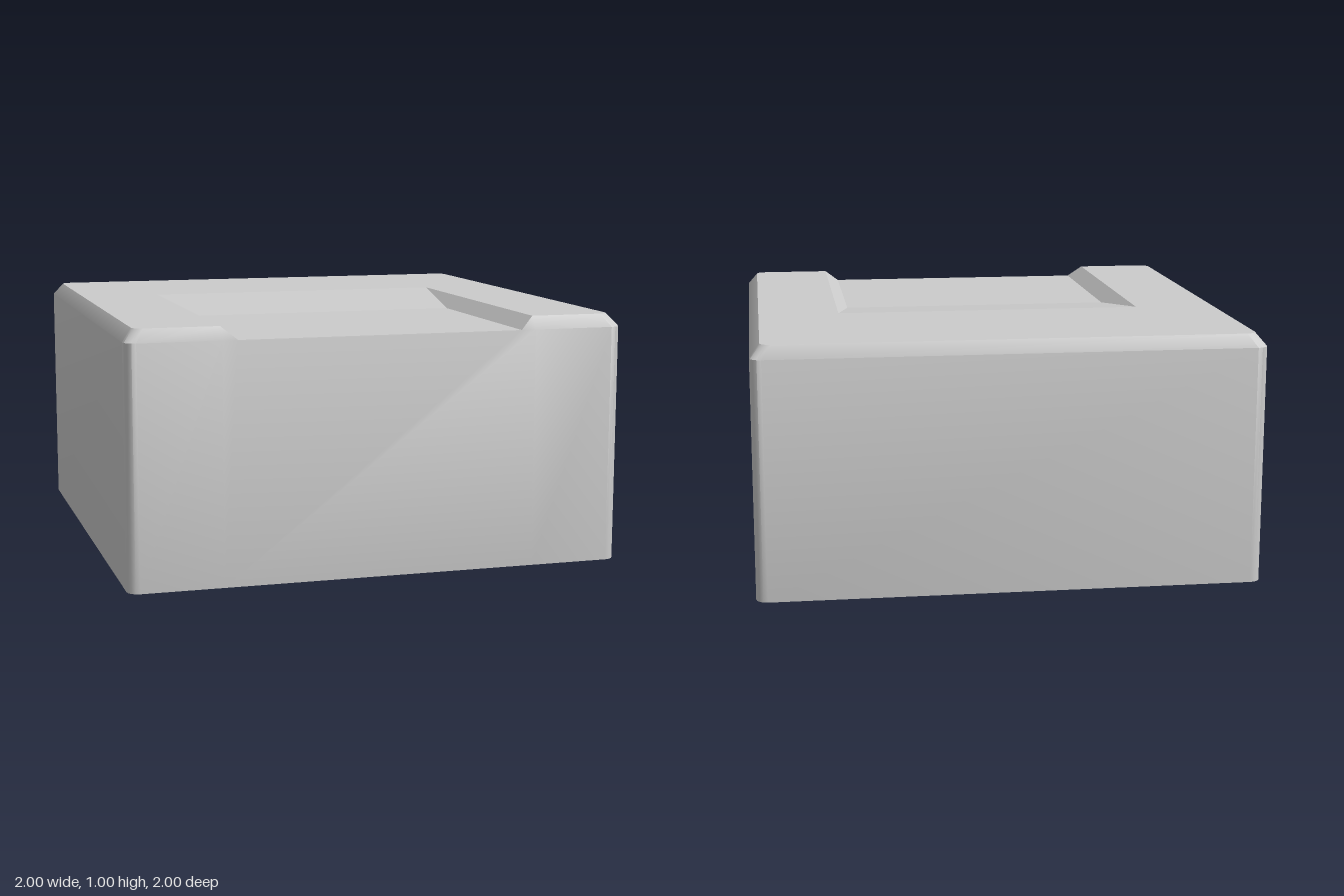
import * as THREE from 'three';
import { toCreasedNormals } from 'three/addons/utils/BufferGeometryUtils.js';

const TOP = 1, EDGE = 0.95;        // top face height, lower edge of the bevel
const OUT = 1, IN = 0.96;          // half widths below and above the bevel
const WIDE = 0.63, NARROW = 0.57;  // recess half widths at its rim and floor
const BACK = -0.28, FOOT = 0.16;   // ramp start and end in z

// Rounded square outline at height y, open at the front between x = -WIDE and WIDE
function outline(half, y, radius) {
  const pts = [[WIDE, y, half]], c = half - radius, steps = 4;
  [[1, 1], [1, -1], [-1, -1], [-1, 1]].forEach(([sx, sz], k) => {
    for (let i = 0; i <= steps; i++) {
      const a = Math.PI / 2 - (k + i / steps) * Math.PI / 2;
      pts.push([sx * c + radius * Math.cos(a), y, sz * c + radius * Math.sin(a)]);
    }
  });
  pts.push([-WIDE, y, half]);
  return pts;
}

// Fan of triangles over a convex polygon given counter-clockwise
function fan(out, ...p) {
  for (let i = 1; i < p.length - 1; i++) out.push(...p[0], ...p[i], ...p[i + 1]);
}

// The polygon and its mirror image across x
function fanBoth(out, ...p) {
  fan(out, ...p);
  fan(out, ...p.map(([x, y, z]) => [-x, y, z]).reverse());
}

function strip(out, low, high) {
  for (let i = 0; i < low.length - 1; i++) fan(out, low[i], low[i + 1], high[i + 1], high[i]);
}

function makeMesh(name, positions, crease) {
  const geo = new THREE.BufferGeometry();
  geo.setAttribute('position', new THREE.Float32BufferAttribute(positions, 3));
  const mesh = new THREE.Mesh(toCreasedNormals(geo, crease), new THREE.MeshStandardMaterial({ color: 0xcccccc }));
  mesh.name = name;
  return mesh;
}

export function createModel() {
  const group = new THREE.Group();
  group.name = 'recessedBlock';

  const base = outline(OUT, 0, 0.045);
  const shoulder = outline(OUT, EDGE, 0.045);
  const rim = outline(IN, TOP, 0.04);

  // Side walls with the bevel above, flush with the recess at the front
  const sides = [];
  strip(sides, base, shoulder);
  fan(sides, base[base.length - 1], base[0], shoulder[0],
    [NARROW, EDGE, OUT], [-NARROW, EDGE, OUT], shoulder[shoulder.length - 1]);
  strip(sides, shoulder, rim);
  fanBoth(sides, [NARROW, EDGE, OUT], [WIDE, EDGE, OUT], [WIDE, TOP, IN]);
  group.add(makeMesh('sideWalls', sides, 0.75));

  // Flat underside
  const under = [];
  fan(under, ...[...base].reverse());
  group.add(makeMesh('underside', under, 0.1));

  // Top face wrapping round the recess
  const loop = [...rim, [-WIDE, TOP, BACK], [WIDE, TOP, BACK]];
  const flat = loop.map(([x, , z]) => new THREE.Vector2(x, -z));
  const top = [];
  for (const [a, b, c] of THREE.ShapeUtils.triangulateShape(flat, [])) fan(top, loop[a], loop[b], loop[c]);
  group.add(makeMesh('topFace', top, 0.1));

  // Recess floor, the ramp leading down to it and its sloping side walls
  const floor = [], ramp = [], walls = [];
  fan(floor, [-NARROW, EDGE, OUT], [NARROW, EDGE, OUT], [NARROW, EDGE, FOOT], [-NARROW, EDGE, FOOT]);
  fan(ramp, [-NARROW, EDGE, FOOT], [NARROW, EDGE, FOOT], [WIDE, TOP, BACK], [-WIDE, TOP, BACK]);
  fanBoth(walls, [NARROW, EDGE, FOOT], [NARROW, EDGE, OUT], [WIDE, TOP, IN], [WIDE, TOP, BACK]);
  group.add(makeMesh('recessFloor', floor, 0.1));
  group.add(makeMesh('recessRamp', ramp, 0.1));
  group.add(makeMesh('recessWalls', walls, 0.1));

  return group;
}
